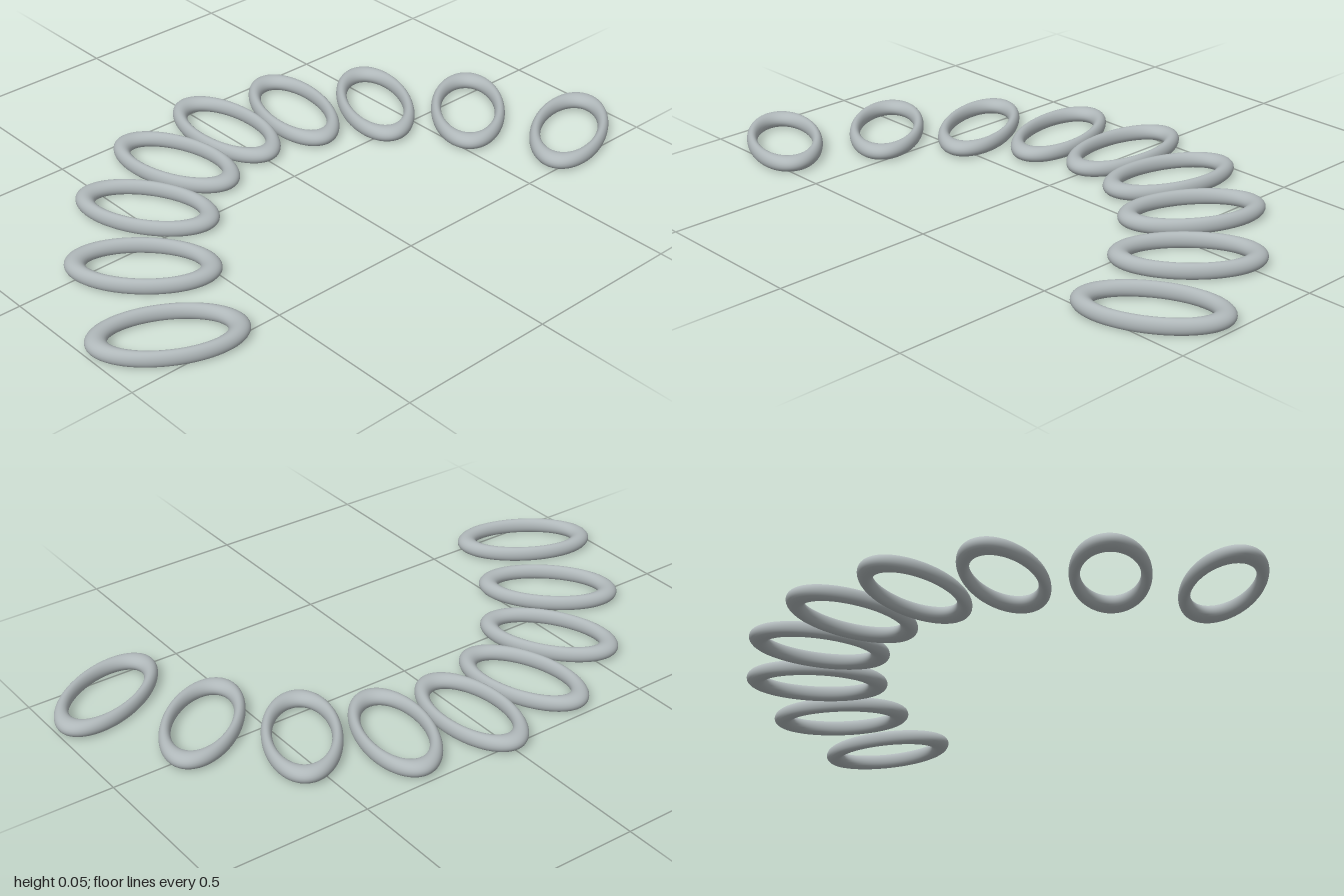
import * as THREE from 'three';

export function createModel() {
  const group = new THREE.Group();
  const steel = new THREE.MeshStandardMaterial({ color: 0xb0b8ba });
  steel.name = 'greySteel';

  // Flat oval ring: a torus laid down and stretched along x
  const R = 0.101, r = 0.016, halfHeight = 0.0245;
  const ring = new THREE.TorusGeometry(R, r, 24, 72);
  ring.rotateX(-Math.PI / 2);
  ring.scale(1.9, halfHeight / r, 1);
  ring.translate(0, halfHeight, 0);

  // Nine rings fanned along an elliptical arc, each turned 15 degrees further
  for (let i = -4; i <= 4; i++) {
    const angle = THREE.MathUtils.degToRad(15 * i);
    const link = new THREE.Mesh(ring, steel);
    link.name = `ovalRing${i + 5}`;
    link.position.set(1.109 - 1.43 * Math.cos(angle), 0, 0.921 * Math.sin(angle));
    link.rotation.y = angle;
    group.add(link);
  }
  return group;
}
